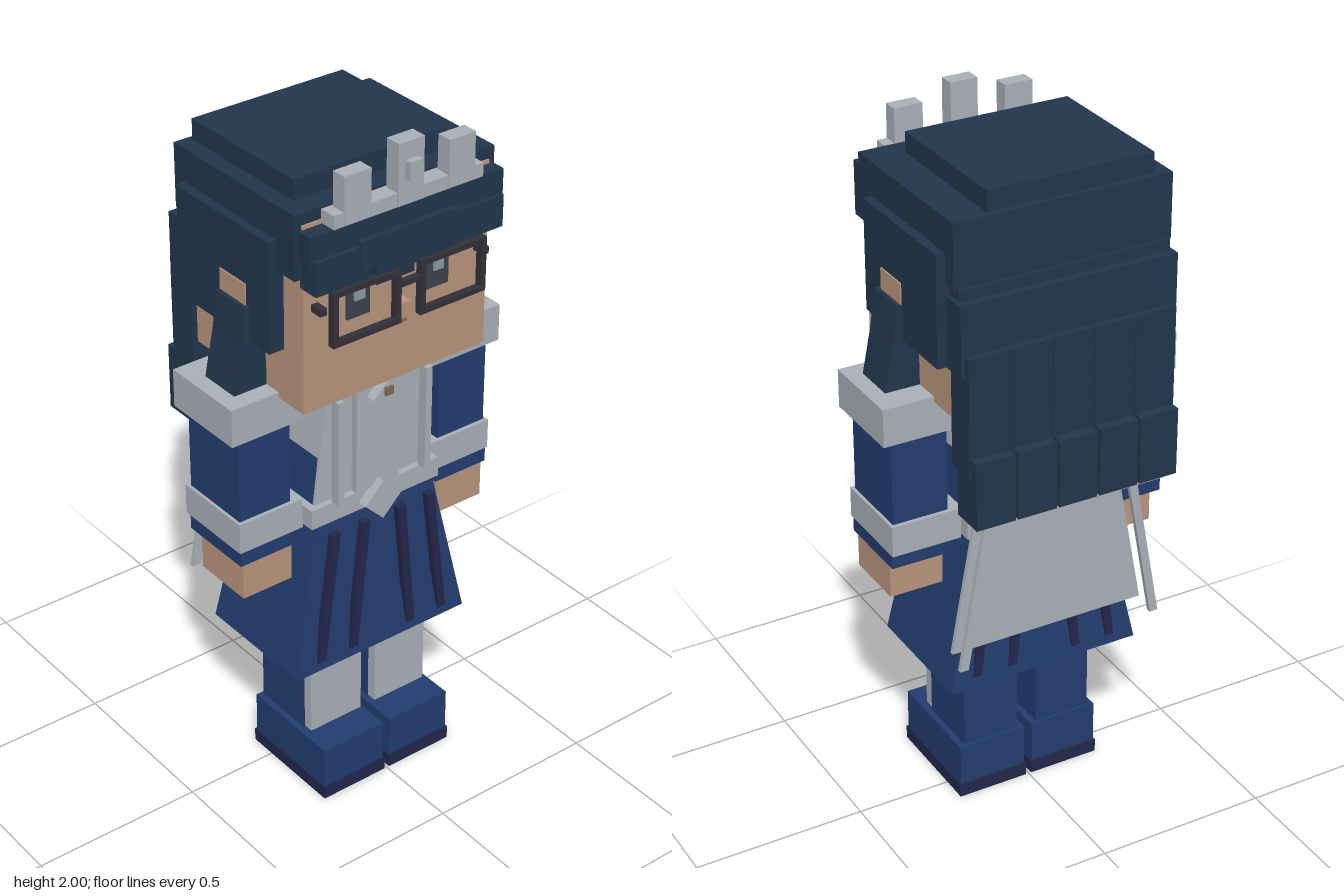
import * as THREE from 'three';

const mat = (name, color) => {
  const m = new THREE.MeshStandardMaterial({ color });
  m.name = name;
  return m;
};

export function createModel() {
  const hair = mat('hair navy', 0x22364c);
  const blue = mat('uniform blue', 0x233d70);
  const dark = mat('dark indigo', 0x23274c);
  const grey = mat('pale grey', 0xabb1b9);
  const skin = mat('skin', 0xba967e);
  const frame = mat('glasses charcoal', 0x34303a);
  const eye = mat('eye slate', 0x3c414f);
  const shine = mat('eye shine', 0x8f9aa6);
  const brown = mat('warm brown', 0x8a6853);

  const model = new THREE.Group();
  model.name = 'figure';

  // six-sided block between a bottom and a top rectangle [x0, x1, z0, z1]
  function prism(name, m, y0, y1, bottom, top = bottom) {
    const g = new THREE.BoxGeometry(1, 1, 1).toNonIndexed();
    const p = g.attributes.position;
    for (let i = 0; i < p.count; i++) {
      const up = p.getY(i) > 0;
      const r = up ? top : bottom;
      p.setXYZ(i, p.getX(i) < 0 ? r[0] : r[1], up ? y1 : y0, p.getZ(i) < 0 ? r[2] : r[3]);
    }
    g.computeVertexNormals();
    const mesh = new THREE.Mesh(g, m);
    mesh.name = name;
    model.add(mesh);
    return mesh;
  }
  const box = (name, m, x0, x1, y0, y1, z0, z1) => prism(name, m, y0, y1, [x0, x1, z0, z1]);
  const flip = (r) => [-r[1], -r[0], r[2], r[3]];
  function pair(name, m, y0, y1, bottom, top = bottom) {
    prism(name + 'Left', m, y0, y1, bottom, top);
    prism(name + 'Right', m, y0, y1, flip(bottom), flip(top));
  }
  function diamond(name, y, z, r, depth) {
    const mesh = new THREE.Mesh(new THREE.BoxGeometry(r * Math.SQRT2, r * Math.SQRT2, depth), grey);
    mesh.rotation.z = Math.PI / 4;
    mesh.position.set(0, y, z);
    mesh.name = name;
    model.add(mesh);
  }

  // boots, legs and socks
  pair('sole', dark, 0, 0.04, [0.008, 0.222, -0.08, 0.25]);
  pair('boot', blue, 0.04, 0.165, [0.012, 0.218, -0.075, 0.245]);
  pair('leg', blue, 0.165, 0.5, [0.03, 0.2, -0.065, 0.13]);
  pair('sock', grey, 0.175, 0.45, [0.025, 0.2, 0.13, 0.16]);

  // skirt with dark pleats front and back
  prism('skirt', blue, 0.43, 0.88, [-0.29, 0.29, -0.165, 0.22], [-0.2, 0.2, -0.12, 0.18]);
  for (const [z0, z1] of [[0.205, 0.225], [-0.165, -0.148]]) {
    for (const [xb, xt] of [[0.1, 0.06], [0.21, 0.16]]) {
      pair('pleat', dark, 0.46, 0.86, [xb - 0.013, xb + 0.013, z0, z1], [xt - 0.013, xt + 0.013, z0, z1]);
    }
  }

  // torso, bib and belt
  prism('torso', blue, 0.87, 1.08, [-0.2, 0.2, -0.11, 0.165], [-0.18, 0.18, -0.11, 0.165]);
  prism('yoke', grey, 1.08, 1.26, [-0.18, 0.18, -0.11, 0.165], [-0.155, 0.155, -0.11, 0.165]);
  prism('bibBase', grey, 0.94, 1.26, [-0.195, 0.195, 0.165, 0.174], [-0.155, 0.155, 0.165, 0.174]);
  box('bibPanel', grey, -0.072, 0.072, 0.94, 1.26, 0.174, 0.195);
  pair('bibStrap', grey, 0.95, 1.265, [0.136, 0.156, 0.195, 0.225]);
  box('belt', grey, -0.215, 0.215, 0.878, 0.937, -0.125, 0.188);
  diamond('beltDiamond', 0.905, 0.205, 0.06, 0.03);
  diamond('collarDiamond', 1.25, 0.235, 0.06, 0.03);
  box('brooch', brown, -0.025, 0, 1.255, 1.28, 0.25, 0.257);
  box('neck', skin, -0.08, 0.08, 1.24, 1.32, -0.06, 0.16);

  // cape with edge strips
  prism('cape', grey, 0.57, 1.25, [-0.295, 0.295, -0.18, -0.168], [-0.17, 0.17, -0.18, -0.168]);
  pair('capeStrip', grey, 0.56, 1.2, [0.285, 0.31, -0.252, -0.238], [0.17, 0.195, -0.252, -0.238]);

  // arms
  pair('shoulderCuff', grey, 1.21, 1.32, [0.2, 0.443, -0.1, 0.157]);
  pair('sleeve', blue, 0.87, 1.21, [0.25, 0.413, -0.08, 0.14]);
  pair('wristCuff', grey, 0.87, 0.96, [0.218, 0.422, -0.093, 0.152]);
  pair('sleeveEnd', blue, 0.825, 0.87, [0.24, 0.418, -0.08, 0.148]);
  pair('hand', skin, 0.715, 0.825, [0.25, 0.408, -0.045, 0.143]);

  // head and ears
  box('head', skin, -0.295, 0.295, 1.305, 1.838, -0.2, 0.262);
  pair('ear', skin, 1.5, 1.62, [0.29, 0.345, -0.02, 0.088]);

  // hair cap, sides and locks
  box('hairCap', hair, -0.315, 0.315, 1.69, 1.87, -0.25, 0.256);
  box('hairTop', hair, -0.268, 0.212, 1.87, 1.928, -0.235, 0.192);
  pair('hairSide', hair, 1.46, 1.775, [0.29, 0.341, -0.208, 0.183]);
  pair('lockUpper', hair, 1.46, 1.56, [0.31, 0.368, -0.022, 0.105], [0.31, 0.355, -0.022, 0.105]);
  pair('lockLower', hair, 1.3, 1.46, [0.29, 0.4, -0.022, 0.105], [0.3, 0.368, -0.022, 0.105]);

  // layered back hair, with two rows of tiles at the ends
  box('backHairUpper', hair, -0.305, 0.305, 1.62, 1.69, -0.26, -0.19);
  box('backHair', hair, -0.315, 0.315, 1.46, 1.66, -0.285, -0.19);
  for (let i = 0; i < 5; i++) {
    const x = (i - 2) * 0.122;
    box('hairTileUpper', hair, x - 0.06, x + 0.06, 1.18, 1.52, -0.303, -0.21);
    box('hairTileLower', hair, x - 0.057, x + 0.057, 1.04, 1.235, -0.333, -0.233);
  }

  // fringe: [x0, x1, y0, y1, front z]
  for (const [x0, x1, y0, y1, z] of [
    [-0.305, 0.305, 1.745, 1.828, 0.305],
    [-0.295, -0.13, 1.665, 1.76, 0.315],
    [0.13, 0.3, 1.67, 1.76, 0.315],
    [-0.16, 0.15, 1.7, 1.775, 0.32],
    [-0.105, 0.015, 1.635, 1.71, 0.312],
    [0.015, 0.16, 1.655, 1.71, 0.308],
  ]) box('fringe', hair, x0, x1, y0, y1, 0.25, z);

  // crown
  box('crownBand', grey, -0.235, 0.235, 1.828, 1.866, 0.258, 0.308);
  pair('crownSpike', grey, 1.83, 1.962, [0.122, 0.205, 0.265, 0.31]);
  box('crownSpikeCentre', grey, -0.04, 0.04, 1.83, 2, 0.265, 0.312);
  box('crownGem', grey, -0.02, 0.02, 1.9, 1.952, 0.31, 0.332);

  // eyes, glasses, nose and mouth
  for (const s of [-1, 1]) {
    const c = s * 0.127;
    box('eye', eye, c - 0.036, c + 0.036, 1.535, 1.635, 0.26, 0.269);
    box('eyeShine', shine, c - 0.016, c + 0.016, 1.585, 1.63, 0.268, 0.275);
    const g = s * 0.138;
    for (const [x0, x1, y0, y1] of [
      [-0.107, 0.107, 1.505, 1.52],
      [-0.107, 0.107, 1.645, 1.66],
      [-0.107, -0.09, 1.52, 1.645],
      [0.09, 0.107, 1.52, 1.645],
    ]) box('glassesRim', frame, g + x0, g + x1, y0, y1, 0.3, 0.32);
    box('glassesHinge', frame, s * 0.26 - 0.01, s * 0.26 + 0.01, 1.595, 1.615, 0.262, 0.3);
  }
  box('glassesBridge', frame, -0.034, 0.034, 1.605, 1.62, 0.3, 0.318);
  box('nose', skin, -0.02, 0.02, 1.5, 1.54, 0.262, 0.292);
  box('mouth', brown, -0.03, 0.03, 1.467, 1.475, 0.26, 0.268);

  return model;
}
